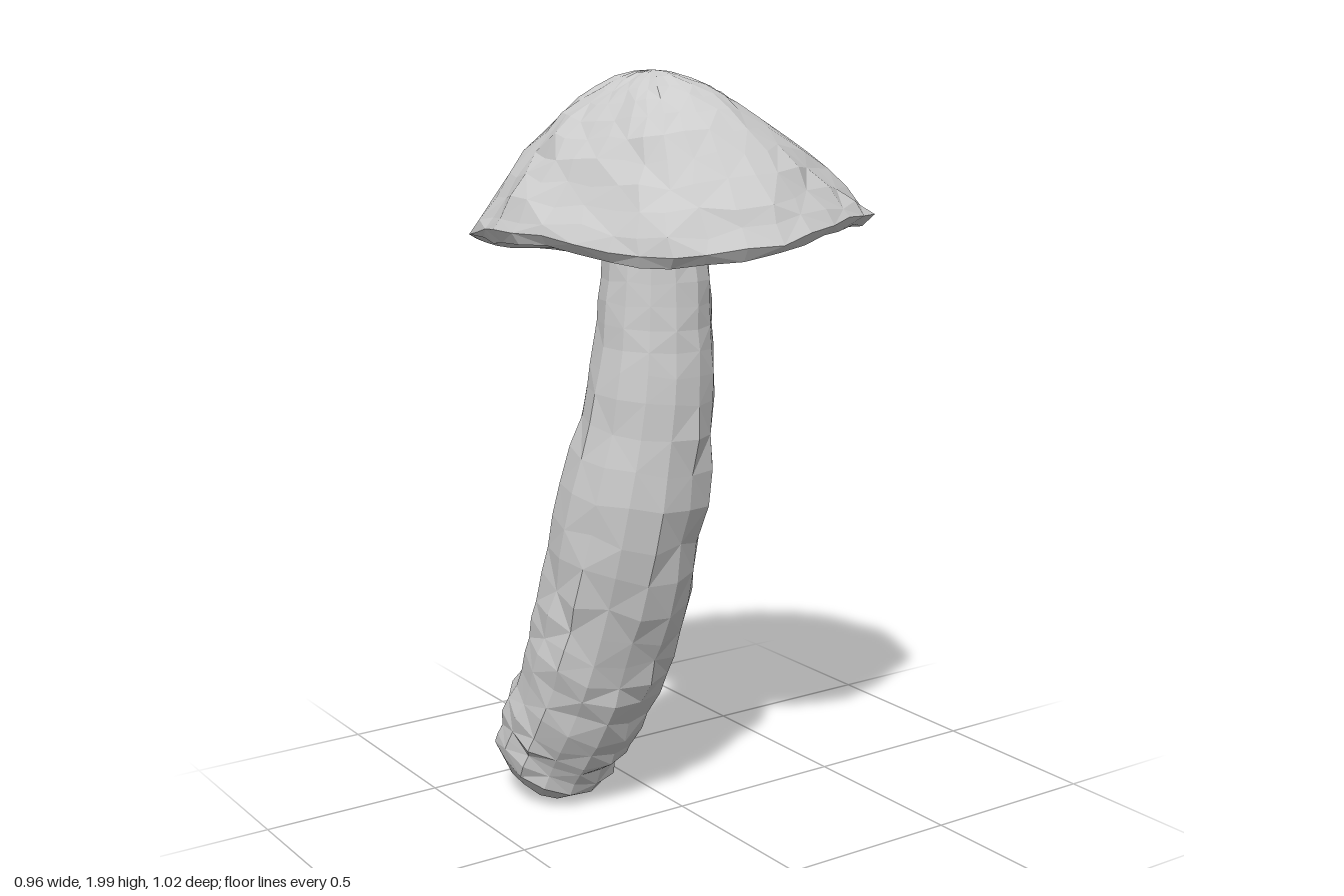
import * as THREE from 'three';

const V = (x, y, z) => new THREE.Vector3(x, y, z);

// seeded noise in -1..1
let seed = 7;
function rnd() {
  seed = (seed * 16807) % 2147483647;
  return (seed / 2147483647) * 2 - 1;
}

// skin closed rings (running from +x towards +z, bottom to top)
function loft(rings, name) {
  const n = rings[0].length, pos = [], idx = [];
  rings.forEach(r => r.forEach(p => pos.push(p.x, p.y, p.z)));
  for (let i = 0; i < rings.length - 1; i++) {
    for (let j = 0; j < n; j++) {
      const a = i * n + j, b = i * n + (j + 1) % n, c = a + n, d = b + n;
      if ((i + j) % 2) idx.push(a, c, b, b, c, d);
      else idx.push(a, c, d, a, d, b);
    }
  }
  const g = new THREE.BufferGeometry();
  g.setAttribute('position', new THREE.Float32BufferAttribute(pos, 3));
  g.setIndex(idx);
  g.computeVertexNormals();
  const mesh = new THREE.Mesh(g, new THREE.MeshStandardMaterial({ color: 0xcccccc, flatShading: true }));
  mesh.name = name;
  return mesh;
}

// curved stem: tilted rings along a bent path
function makeStem() {
  const keys = [ // x, y, z, radius across, radius in depth
    [-0.225, 0.12, -0.305, 0.165, 0.16], [-0.21, 0.23, -0.25, 0.185, 0.175],
    [-0.18, 0.4, -0.165, 0.2, 0.182], [-0.16, 0.6, -0.095, 0.2, 0.188],
    [-0.135, 0.9, -0.025, 0.195, 0.193], [-0.105, 1.2, 0.01, 0.165, 0.17],
    [-0.095, 1.4, 0.015, 0.148, 0.15], [-0.093, 1.6, 0.015, 0.13, 0.135]];
  const path = new THREE.CatmullRomCurve3(keys.map(k => V(k[0], k[1], k[2])));
  const size = new THREE.CatmullRomCurve3(keys.map(k => V(k[3], k[4], 0)));
  const sides = 14, steps = 24;
  const ring = (c, t, rx, rz, bump) => {
    const T = path.getTangent(t);
    const X = V(1, 0, 0).addScaledVector(T, -T.x).normalize();
    const Z = X.clone().cross(T);
    return Array.from({ length: sides }, (_, j) => {
      const a = j / sides * Math.PI * 2, k = 1 + bump * rnd();
      const p = c.clone().addScaledVector(X, Math.cos(a) * rx * k)
        .addScaledVector(Z, Math.sin(a) * rz * k)
        .addScaledVector(T, bump * 0.2 * rnd());
      p.y = Math.max(0, p.y);
      return p;
    });
  };
  // rounded foot
  const rings = [ring(V(-0.235, 0.055, -0.34), 0, 0, 0, 0), ring(V(-0.235, 0.067, -0.335), 0, 0.115, 0.12, 0.04)];
  for (let i = 0; i <= steps; i++) {
    const t = i / steps, s = size.getPoint(t);
    rings.push(ring(path.getPoint(t), t, s.x, s.y, t > 0.7 ? 0.02 : 0.055));
  }
  return loft(rings, 'stem');
}

// lopsided cap: uneven rim, dome above, shallow underside below
function makeCap() {
  const rim = [ // x, y, z, dome fullness
    [0.48, 1.61, 0.03, 1.4], [0.43, 1.63, 0.2, 1.5], [0.34, 1.65, 0.35, 1.6], [0.21, 1.65, 0.42, 1.8],
    [0.07, 1.64, 0.49, 2], [-0.07, 1.61, 0.51, 2.1], [-0.22, 1.59, 0.45, 2.1], [-0.33, 1.58, 0.37, 2],
    [-0.39, 1.59, 0.25, 1.9], [-0.44, 1.61, 0.07, 1.75], [-0.48, 1.61, -0.08, 1.75], [-0.45, 1.6, -0.23, 1.8],
    [-0.42, 1.58, -0.35, 1.9], [-0.35, 1.55, -0.44, 2], [-0.26, 1.53, -0.475, 2], [-0.13, 1.51, -0.5, 2],
    [0, 1.49, -0.52, 1.95], [0.2, 1.49, -0.45, 1.9], [0.33, 1.5, -0.41, 1.7], [0.4, 1.54, -0.31, 1.6],
    [0.455, 1.58, -0.17, 1.5], [0.46, 1.6, -0.05, 1.4]];
  const edge = new THREE.CatmullRomCurve3(rim.map(k => V(k[0], k[1], k[2])), true);
  const full = new THREE.CatmullRomCurve3(rim.map(k => V(k[3], 0, 0)), true);
  const n = 36, apex = V(-0.09, 2, 0), hub = V(-0.09, 1.56, 0.015);
  const cols = Array.from({ length: n }, (_, j) => ({ p: edge.getPoint(j / n), e: full.getPoint(j / n).x }));
  const rings = [];
  // underside
  for (const t of [0, 0.35, 0.7, 0.95]) {
    rings.push(cols.map(({ p }) => {
      const q = hub.clone().lerp(p, t);
      q.y -= 0.03 * t * t + (t > 0.9 ? 0.006 * rnd() : 0);
      if (p.z < -0.3) q.y += 0.02 * t * t;
      return q;
    }));
  }
  // dome
  for (const t of [1, 0.95, 0.88, 0.79, 0.7, 0.6, 0.5, 0.4, 0.3, 0.2, 0.1, 0]) {
    const bump = t === 0 ? 0 : t === 1 ? 0.006 : 0.011 * Math.min(1, t + 0.1);
    rings.push(cols.map(({ p, e }) => {
      const q = apex.clone().lerp(p, t);
      q.y = apex.y + (p.y - apex.y) * Math.pow(t, e);
      // shallow dent where the dome falls away to one side
      q.y -= 0.025 * Math.exp(-((q.x - 0.2) ** 2 + (q.z - 0.02) ** 2) / 0.02);
      if (t === 0) return apex.clone();
      return q.add(V(bump * rnd(), bump * rnd(), bump * rnd()));
    }));
  }
  return loft(rings, 'cap');
}

export function createModel() {
  seed = 7;
  const group = new THREE.Group();
  group.name = 'mushroom';
  group.add(makeStem(), makeCap());
  return group;
}
